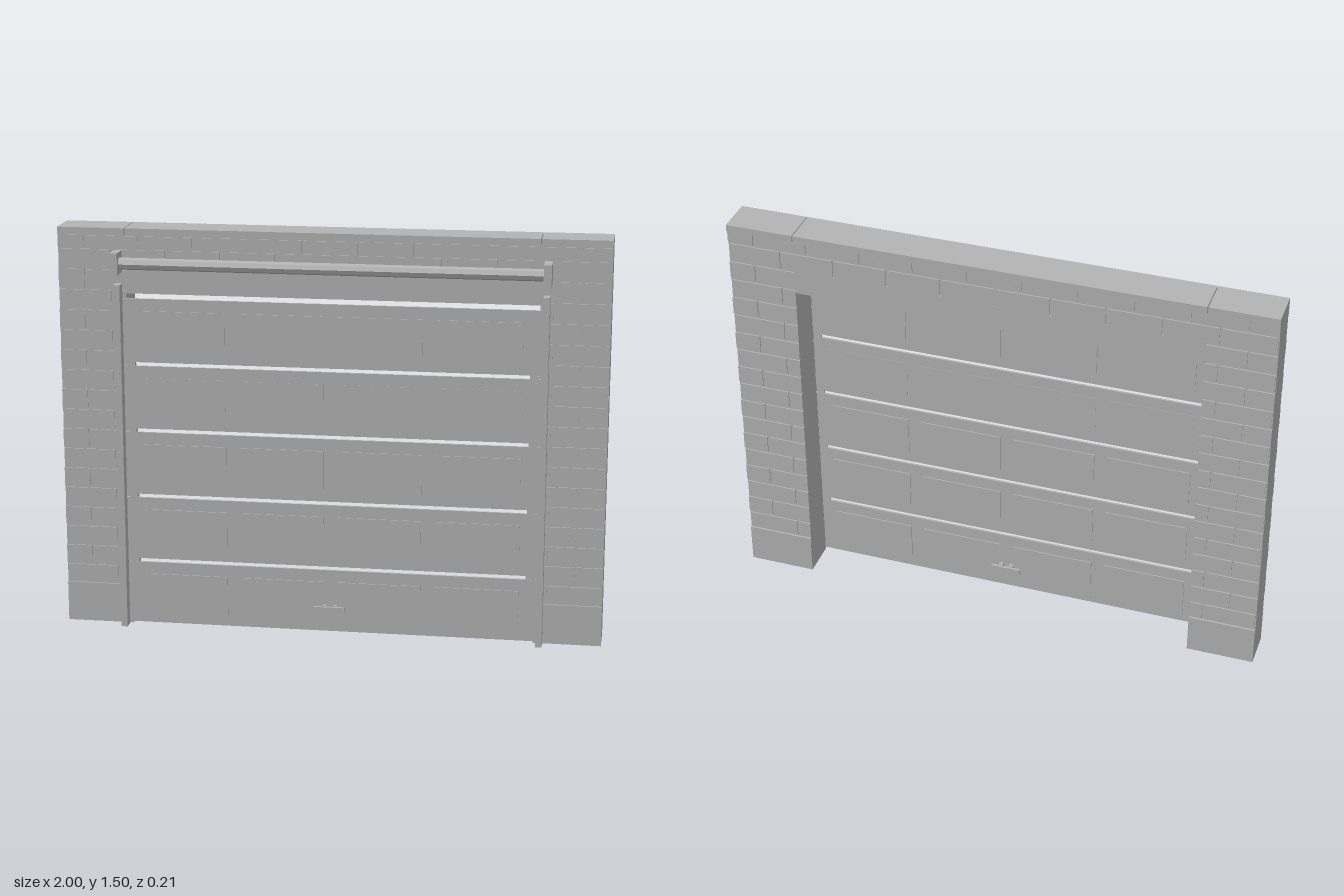
import * as THREE from 'three';

export function createModel() {
  const model = new THREE.Group();
  const grey = new THREE.MeshStandardMaterial({ color: 0xb4b4b4 });
  grey.name = 'plainGrey';

  // Box given by its limits on each axis
  const box = (name, x0, x1, y0, y1, z0, z1, parent = model) => {
    const mesh = new THREE.Mesh(new THREE.BoxGeometry(x1 - x0, y1 - y0, z1 - z0), grey);
    mesh.position.set((x0 + x1) / 2, (y0 + y1) / 2, (z0 + z1) / 2);
    mesh.name = name;
    parent.add(mesh);
    return mesh;
  };
  const group = (name) => {
    const g = new THREE.Group();
    g.name = name;
    model.add(g);
    return g;
  };

  const back = -0.1, front = 0.035, relief = 0.005;
  const openX = 0.75, baseTop = 0.15, lintelTop = 1.355, wallTop = 1.475;

  // Mortar core of the wall: two piers and the header across them
  const wall = group('wallCore');
  for (const s of [-1, 1]) {
    const [a, b] = s < 0 ? [-1, -openX] : [openX, 1];
    box('pier', a, b, baseTop, lintelTop, back + relief, front - relief, wall);
    box('pierBase', a, b, 0, baseTop, back - 0.003, front + 0.001, wall);
    box('pierCap', a, b - (s < 0 ? 0.003 : 0), wallTop, 1.5, -0.106, 0.037);
  }
  box('header', -1, 1, lintelTop, wallTop, back + relief, front - relief, wall);
  box('lintel', -openX, openX, 1.262, lintelTop, back, front);
  box('headerCap', -openX, openX - 0.003, wallTop, 1.5, -0.106, 0.037);

  // Staggered bricks standing proud of the mortar on both faces
  const bricks = group('bricks');
  const course = 0.075, length = 0.2, joint = 0.004;
  const layRow = (xMin, xMax, y0, y1, shift) => {
    for (let x = -1.2 + shift; x < xMax; x += length) {
      const a = Math.max(x + joint, xMin), b = Math.min(x + length - joint, xMax);
      if (b - a < 0.01) continue;
      box('brickFront', a, b, y0, y1, front - relief, front, bricks);
      box('brickBack', a, b, y0, y1, back, back + relief, bricks);
    }
  };
  for (let i = 0; i < 18; i++) {
    const y0 = baseTop + i * course + joint;
    const y1 = Math.min(baseTop + (i + 1) * course, wallTop) - joint;
    const shift = (i % 2) * length / 2;
    if (i >= 16) layRow(-1, 1, y0, y1, shift);
    else {
      layRow(-1, -openX, y0, y1, shift);
      layRow(openX, 1, y0, y1, shift);
    }
  }

  // Sectional door: five leaves with raised fields on both sides
  const door = group('sectionalDoor');
  const dz0 = 0.036, dz1 = 0.044;
  for (let i = 0; i < 5; i++) {
    const y = i * 0.25;
    box('doorSection', -0.76, 0.76, y + 0.009, y + 0.245, dz0, dz1, door);
    const raise = i === 3 ? 0.001 : 0.004;
    for (const cx of [-0.54, -0.18, 0.18, 0.54]) {
      box('raisedField', cx - 0.155, cx + 0.155, y + 0.054, y + 0.2, dz0 - raise, dz1 + raise, door);
    }
    // Hinge tabs closing the ends of each gap
    if (i > 0) for (const s of [-1, 1]) {
      box('hingeTab', s * 0.735 - 0.015, s * 0.735 + 0.015, y - 0.006, y + 0.01, dz0 + 0.001, dz1 - 0.001, door);
    }
  }

  // Pull handles, front and back
  for (const s of [-1, 1]) {
    const handle = group(s > 0 ? 'frontHandle' : 'backHandle');
    const face = s > 0 ? dz1 : dz0;
    const span = (a, b) => [face + s * a, face + s * b].sort((p, q) => p - q);
    box('handleBar', -0.058, 0.055, 0.091, 0.109, ...span(0.015, 0.025), handle);
    for (const x of [-0.02, 0.02]) {
      box('handlePost', x - 0.008, x + 0.008, 0.088, 0.112, ...span(0, 0.016), handle);
    }
  }

  // Guide rails and end brackets of the roller shaft
  for (const s of [-1, 1]) {
    box('guideRail', s * 0.774 - 0.012, s * 0.774 + 0.012, 0, 1.3, 0.043, 0.084);
    box('shaftBracket', s * 0.777 - 0.014, s * 0.777 + 0.014, 1.34, 1.42, 0.035, 0.108);
  }
  const shaftGeometry = new THREE.CylinderGeometry(0.022, 0.022, 1.54, 8).toNonIndexed();
  shaftGeometry.computeVertexNormals();
  const shaft = new THREE.Mesh(shaftGeometry, grey);
  shaft.rotation.set(0, 0, Math.PI / 2);
  shaft.position.set(0, 1.378, 0.073);
  shaft.name = 'rollerShaft';
  model.add(shaft);

  return model;
}
